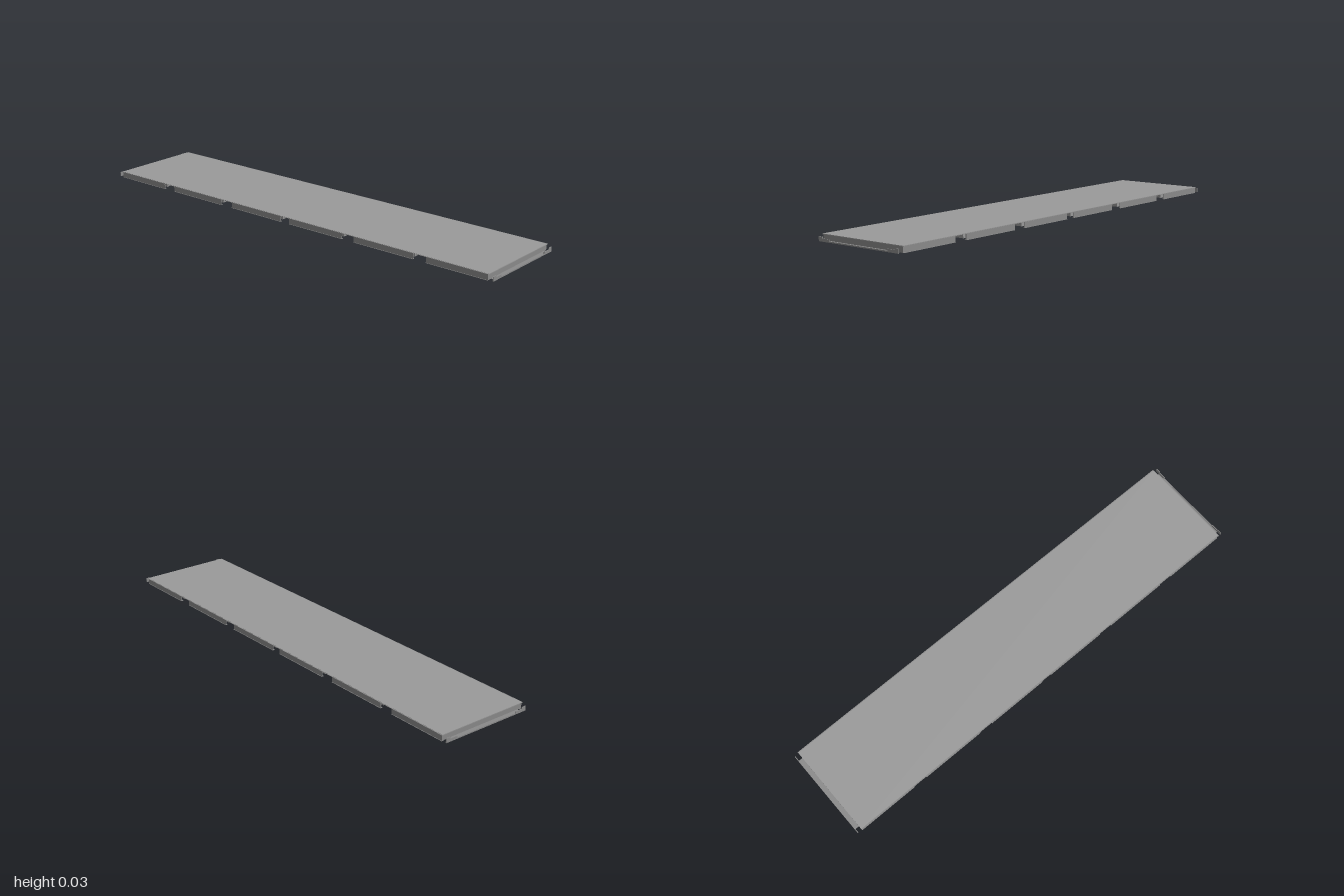
import * as THREE from 'three';

const TOP = 0.027;
const paint = (color) => new THREE.MeshStandardMaterial({ color, flatShading: true, side: THREE.DoubleSide });
const deckGrey = paint(0x9a9a9a);
const edgeGrey = paint(0x8a8a8a);

// Box given by two opposite values on each axis
function slab(name, material, x0, x1, y0, y1, z0, z1) {
  const geometry = new THREE.BoxGeometry(Math.abs(x1 - x0), y1 - y0, Math.abs(z1 - z0));
  const mesh = new THREE.Mesh(geometry, material);
  mesh.position.set((x0 + x1) / 2, (y0 + y1) / 2, (z0 + z1) / 2);
  mesh.name = name;
  return mesh;
}

// Trapezoidal stiffener running across the panel
function rib(x, halfTop, halfBottom, y0, y1, halfLength) {
  const shape = new THREE.Shape([
    new THREE.Vector2(-halfTop, y1), new THREE.Vector2(-halfBottom, y0),
    new THREE.Vector2(halfBottom, y0), new THREE.Vector2(halfTop, y1),
  ]);
  const geometry = new THREE.ExtrudeGeometry(shape, { depth: 2 * halfLength, bevelEnabled: false });
  geometry.translate(x, 0, -halfLength);
  const mesh = new THREE.Mesh(geometry, deckGrey);
  mesh.name = 'rib';
  return mesh;
}

export function createModel() {
  const model = new THREE.Group();
  model.name = 'deckPanel';

  // Flat deck with thin overhanging edges
  model.add(slab('deck', deckGrey, -0.98, 0.98, TOP - 0.003, TOP, -0.205, 0.205));
  for (const s of [-1, 1]) {
    model.add(slab('deckLip', edgeGrey, -0.98, 0.98, TOP - 0.0015, TOP - 0.0005, s * 0.204, s * 0.209));
  }

  // Six bays, each with side skirts and five cross ribs
  const bays = [[-0.978, -0.708], [-0.648, -0.362], [-0.3, -0.025], [0.02, 0.297], [0.357, 0.642], [0.702, 0.976]];
  for (const [x0, x1] of bays) {
    const bay = new THREE.Group();
    bay.name = 'bay';
    for (const s of [-1, 1]) {
      bay.add(slab('sideSkirt', edgeGrey, x0, x1, 0, TOP - 0.001, s * 0.201, s * 0.204));
      bay.add(slab('skirtFoot', edgeGrey, x0, x1, 0, 0.001, s * 0.195, s * 0.206));
    }
    const pitch = (x1 - x0 - 0.036) / 4;
    for (let i = 0; i < 5; i++) {
      bay.add(rib(x0 + 0.018 + pitch * i, 0.015, 0.013, 0.004, TOP - 0.003, 0.185));
    }
    model.add(bay);
  }

  // End channels: inner wall, floor, low outer lip and stepped corner tabs
  for (const s of [-1, 1]) {
    const channel = new THREE.Group();
    channel.name = 'endChannel';
    const add = (name, a, b, y0, y1, z0, z1) =>
      channel.add(slab(name, edgeGrey, s * a, s * b, y0, y1, z0, z1));
    add('endWall', 0.974, 0.977, 0.001, TOP - 0.001, -0.204, 0.204);
    add('endFloor', 0.975, 1, 0.001, 0.0025, -0.185, 0.185);
    add('endLip', 0.997, 1, 0.001, 0.006, -0.204, 0.204);
    for (const t of [-1, 1]) {
      add('cornerStep', 0.997, 1, 0.001, 0.013, t * 0.15, t * 0.185);
      add('cornerTab', 0.997, 1, 0.001, 0.02, t * 0.185, t * 0.204);
    }
    model.add(channel);
  }
  return model;
}
